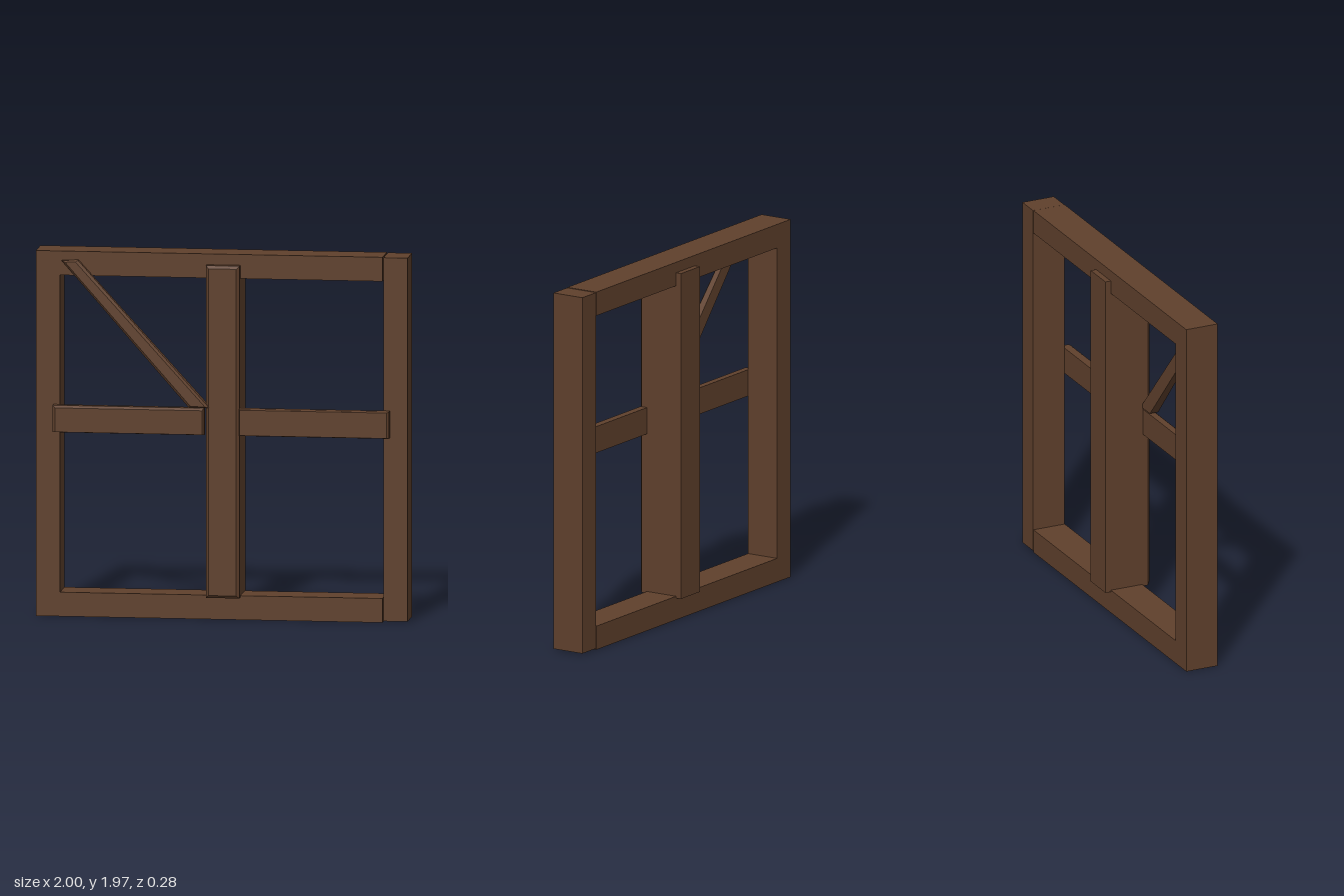
import * as THREE from 'three';

const wood = new THREE.MeshStandardMaterial({ color: 0x5f402c });
wood.name = 'brownWood';

// Skins closed cross-sections, listed back to front and counter-clockwise seen from +z
function loft(loops) {
  const pos = [];
  const tri = (...p) => p.forEach((v) => pos.push(...v));
  const n = loops[0].length;
  for (let k = 0; k < loops.length - 1; k++) {
    const a = loops[k], b = loops[k + 1];
    for (let i = 0; i < n; i++) {
      const j = (i + 1) % n;
      tri(a[i], a[j], b[j]);
      tri(a[i], b[j], b[i]);
    }
  }
  const back = loops[0], front = loops[loops.length - 1];
  for (let i = 1; i < n - 1; i++) {
    tri(back[0], back[i + 1], back[i]);
    tri(front[0], front[i], front[i + 1]);
  }
  const g = new THREE.BufferGeometry();
  g.setAttribute('position', new THREE.Float32BufferAttribute(pos, 3));
  g.computeVertexNormals();
  return g;
}

const rect = (x0, x1, y0, y1, z) => [[x0, y0, z], [x1, y0, z], [x1, y1, z], [x0, y1, z]];

// Beam whose front edges are chamfered; inset = [left, right, bottom, top]
function beam(x0, x1, y0, y1, zBack, zFront, chamfer, [l, r, b, t]) {
  return loft([
    rect(x0, x1, y0, y1, zBack),
    rect(x0, x1, y0, y1, zFront - chamfer),
    rect(x0 + l, x1 - r, y0 + b, y1 - t, zFront),
  ]);
}

export function createModel() {
  const group = new THREE.Group();
  const add = (name, geometry) => {
    const mesh = new THREE.Mesh(geometry, wood);
    mesh.name = name;
    group.add(mesh);
  };
  const zBack = -0.108, zFront = 0.078;

  // C-shaped frame: left post with top and bottom rails in one piece
  const outline = [
    [-1, 0], [0.865, 0], [0.865, 0.13], [-0.87, 0.13],
    [-0.87, 1.84], [0.865, 1.84], [0.865, 1.97], [-1, 1.97],
  ].map(([x, y]) => new THREE.Vector2(x, y));
  const frame = new THREE.ExtrudeGeometry(new THREE.Shape(outline), {
    depth: zFront - zBack, bevelEnabled: false,
  });
  frame.translate(0, 0, zBack);
  add('frame', frame);

  // Separate post closing the frame
  const post = new THREE.BoxGeometry(0.13, 1.96, zFront - zBack);
  post.translate(0.935, 0.988, (zFront + zBack) / 2);
  add('sidePost', post);

  // Centre post, proud of the frame on both faces
  add('centrePost', beam(-0.08, 0.1, 0.12, 1.912, -0.14, 0.128, 0.015, [0.015, 0.015, 0.015, 0.015]));

  // Cross rails fixed to the front
  add('rightRail', beam(-0.905, -0.09, 0.998, 1.143, zFront, 0.13, 0.014, [0.014, 0.01, 0.003, 0.012]));
  add('leftRail', beam(0.1, 0.905, 0.998, 1.143, zFront, 0.13, 0.01, [0.003, 0.01, 0.003, 0.005]));

  // Diagonal brace, thicker toward its lower end
  add('diagonalBrace', loft([
    [[-0.172, 1.148, 0.079], [-0.06, 1.146, 0.079], [-0.77, 1.925, 0.079], [-0.858, 1.922, 0.079]],
    [[-0.172, 1.148, 0.128], [-0.06, 1.146, 0.128], [-0.77, 1.925, 0.104], [-0.858, 1.922, 0.104]],
    [[-0.16, 1.155, 0.14], [-0.082, 1.153, 0.14], [-0.782, 1.917, 0.115], [-0.838, 1.915, 0.115]],
  ]));

  return group;
}
